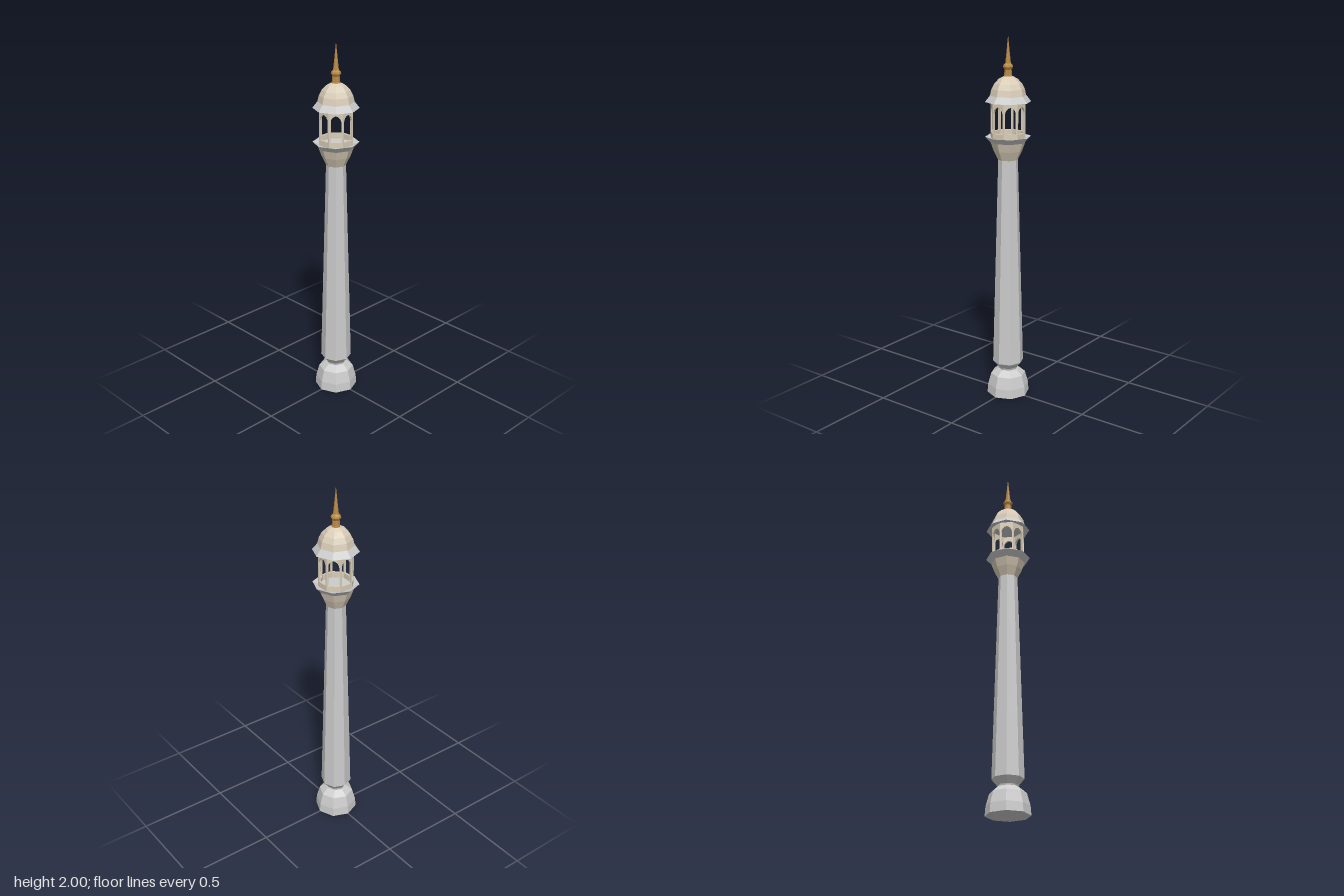
import * as THREE from 'three';

const SIDES = 8;
const mat = (color) => new THREE.MeshStandardMaterial({ color, flatShading: true });

export function createModel() {
  const tower = new THREE.Group();
  tower.name = 'tower';
  const grey = mat(0xcccccc);
  const cream = mat(0xd9cdb8);
  const gold = mat(0xb88a45);

  // Octagonal turned part; profile runs from bottom to top as [radius, height]
  const turned = (name, material, profile) => {
    const points = profile.map(([r, y]) => new THREE.Vector2(r, y));
    const mesh = new THREE.Mesh(new THREE.LatheGeometry(points, SIDES), material);
    mesh.name = name;
    tower.add(mesh);
  };

  turned('base', grey, [[0, 0], [0.118, 0], [0.114, 0.05], [0.096, 0.115], [0.06, 0.145], [0, 0.145]]);
  turned('shaft', grey, [[0, 0.14], [0.052, 0.14], [0.056, 0.155], [0.085, 0.19], [0.053, 1.35], [0, 1.35]]);

  // Balcony: flaring corbel, rim and floor
  turned('corbel', cream, [[0, 1.345], [0.054, 1.345], [0.078, 1.395], [0.094, 1.44], [0, 1.44]]);
  turned('balconyRim', grey, [[0.09, 1.438], [0.094, 1.44], [0.123, 1.47], [0.096, 1.462], [0, 1.462]]);

  // Lantern: ring of eight arched panels, one facing the front
  const apothem = 0.088, depth = 0.012;
  const half = apothem * Math.tan(Math.PI / SIDES);
  const bottom = 1.46, top = 1.66, sill = 1.492, spring = 1.6, open = 0.029;
  const panel = new THREE.Shape([
    new THREE.Vector2(-half, bottom), new THREE.Vector2(half, bottom),
    new THREE.Vector2(half, top), new THREE.Vector2(-half, top),
  ]);
  const arch = new THREE.Path();
  arch.moveTo(-open, sill);
  arch.lineTo(-open, spring);
  arch.quadraticCurveTo(-open * 0.85, spring + 0.028, 0, spring + 0.034);
  arch.quadraticCurveTo(open * 0.85, spring + 0.028, open, spring);
  arch.lineTo(open, sill);
  arch.closePath();
  panel.holes.push(arch);
  const panelGeometry = new THREE.ExtrudeGeometry(panel, { depth, bevelEnabled: false, curveSegments: 4 });
  panelGeometry.translate(0, 0, apothem - depth);
  const lantern = new THREE.Group();
  lantern.name = 'lantern';
  for (let i = 0; i < SIDES; i++) {
    const mesh = new THREE.Mesh(panelGeometry, cream);
    mesh.name = 'archPanel';
    mesh.rotation.y = (i * Math.PI * 2) / SIDES;
    lantern.add(mesh);
  }
  tower.add(lantern);

  // Roof: sloping eave, dome and finial
  turned('eave', grey, [[0, 1.658], [0.09, 1.658], [0.123, 1.654], [0.096, 1.688], [0, 1.688]]);
  turned('dome', cream, [[0.097, 1.685], [0.088, 1.722], [0.073, 1.75], [0.05, 1.774], [0.026, 1.787], [0, 1.787]]);
  turned('finial', gold, [[0.024, 1.782], [0.021, 1.795], [0.019, 1.822], [0.027, 1.836],
    [0.025, 1.845], [0.015, 1.855], [0.009, 1.91], [0, 2]]);

  return tower;
}
